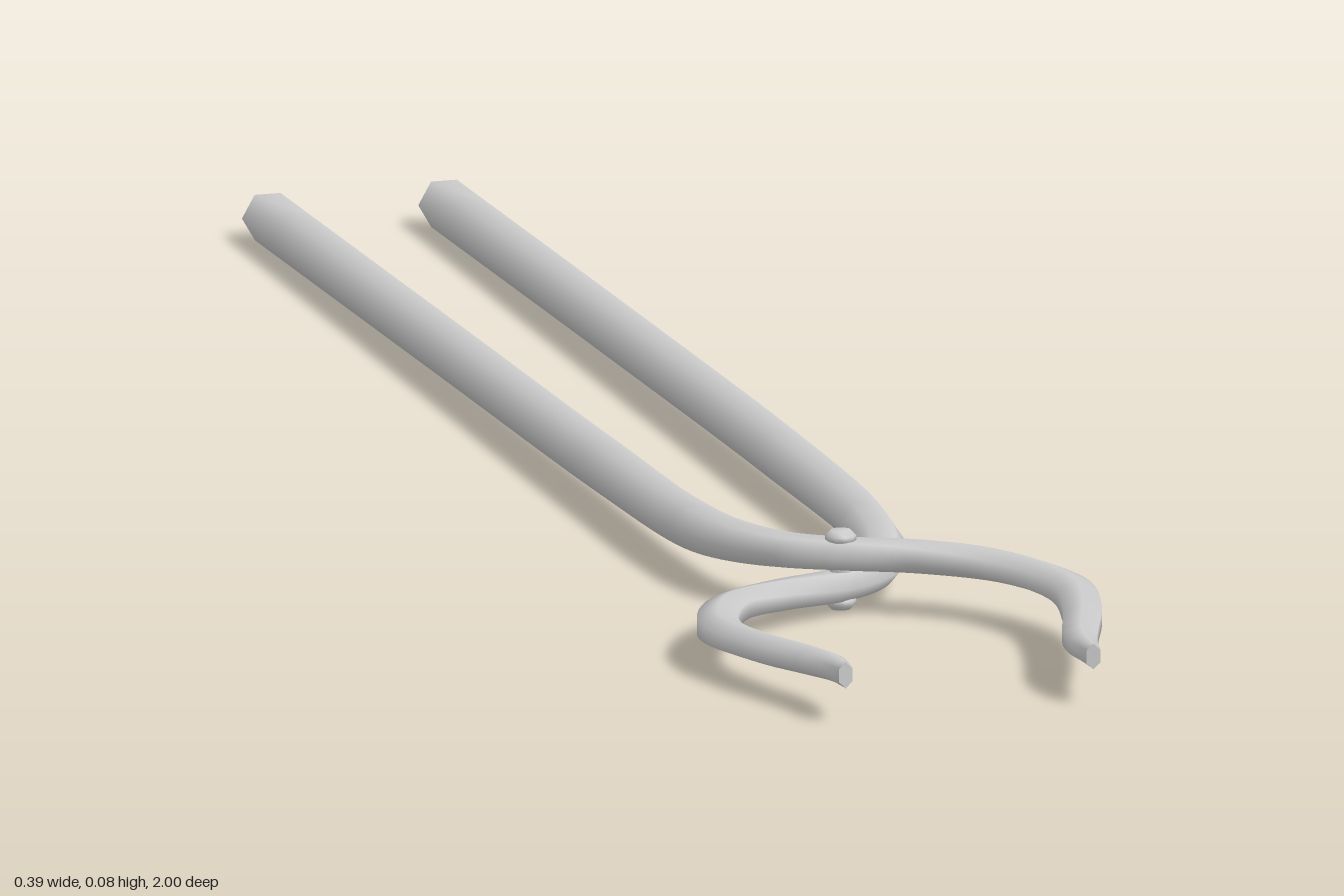
import * as THREE from 'three';

const SIDES = 6, STEPS = 6;
const material = new THREE.MeshStandardMaterial({ color: 0xcccccc });

// Stations along one arm: x, base height, z, lift at the crossing, half width, half height, roll
const STATIONS = [
  [-0.089, 0.0225, -1.0, 0, 0.026, 0.026, 0],
  [-0.089, 0.031, -0.4, 0, 0.026, 0.026, 0],
  [-0.089, 0.037, 0.1, 0.001, 0.026, 0.026, 0],
  [-0.086, 0.040, 0.38, 0.005, 0.025, 0.024, 0],
  [-0.073, 0.042, 0.48, 0.010, 0.025, 0.020, 0],
  [-0.044, 0.043, 0.545, 0.014, 0.024, 0.017, 0],
  [0.000, 0.043, 0.580, 0.0155, 0.023, 0.016, 0],
  [0.070, 0.043, 0.608, 0.014, 0.023, 0.016, 0.25],
  [0.135, 0.044, 0.658, 0.011, 0.023, 0.0165, 0.5],
  [0.175, 0.044, 0.750, 0.008, 0.023, 0.0165, 0.5],
  [0.163, 0.045, 0.840, 0.005, 0.022, 0.0160, 0.5],
  [0.135, 0.046, 0.925, 0.002, 0.020, 0.0150, 0.5],
  [0.127, 0.047, 0.960, 0.001, 0.016, 0.0140, 0.5],
  [0.125, 0.047, 1.0, 0, 0.008, 0.0130, 0.5],
];

// Sweep a six-sided section along the arm; side = 1 crosses over, -1 crosses under
function armGeometry(side) {
  const curve = new THREE.CatmullRomCurve3(STATIONS.map(
    ([x, y, z, lift]) => new THREE.Vector3(side * x, y + side * lift, z)));
  const spans = STATIONS.length - 1, rings = spans * STEPS;
  const up = new THREE.Vector3(0, 1, 0);
  const positions = [], index = [];
  for (let i = 0; i <= rings; i++) {
    const u = i / STEPS, k = Math.min(Math.floor(u), spans - 1);
    const at = (c) => THREE.MathUtils.lerp(STATIONS[k][c], STATIONS[k + 1][c], u - k);
    const centre = curve.getPoint(i / rings), tangent = curve.getTangent(i / rings);
    const across = new THREE.Vector3().crossVectors(up, tangent).normalize();
    const rise = new THREE.Vector3().crossVectors(tangent, across);
    for (let j = 0; j < SIDES; j++) {
      const a = (j + at(6)) / SIDES * Math.PI * 2;
      const p = centre.clone()
        .addScaledVector(across, at(4) * Math.cos(a))
        .addScaledVector(rise, at(5) * Math.sin(a));
      positions.push(p.x, p.y, p.z);
      if (i < rings) {
        const n = (j + 1) % SIDES, b = i * SIDES, c = b + SIDES;
        index.push(b + j, b + n, c + j, b + n, c + n, c + j);
      }
    }
  }
  // Flat end caps on their own vertices keep the end edges sharp
  for (const [ring, front] of [[0, false], [rings, true]]) {
    const base = positions.length / 3;
    positions.push(...positions.slice(ring * SIDES * 3, (ring + 1) * SIDES * 3));
    for (let j = 1; j < SIDES - 1; j++) {
      index.push(base, base + (front ? j : j + 1), base + (front ? j + 1 : j));
    }
  }
  const geometry = new THREE.BufferGeometry();
  geometry.setAttribute('position', new THREE.Float32BufferAttribute(positions, 3));
  geometry.setIndex(index);
  geometry.computeVertexNormals();
  return geometry;
}

export function createModel() {
  const group = new THREE.Group();
  group.name = 'tongs';
  const add = (geometry, name) => {
    const mesh = new THREE.Mesh(geometry, material);
    mesh.name = name;
    group.add(mesh);
    return mesh;
  };

  // Two crossing arms, each a handle and the opposite jaw
  add(armGeometry(1), 'upperArm');
  add(armGeometry(-1), 'lowerArm');

  // Rivet through the crossing, with a domed head at each end
  const profile = [[0, 0.004], [0.010, 0.004], [0.015, 0.009], [0.015, 0.014], [0.011, 0.016],
    [0.011, 0.070], [0.015, 0.072], [0.015, 0.077], [0.010, 0.082], [0, 0.082]];
  const rivet = add(new THREE.LatheGeometry(profile.map(([r, y]) => new THREE.Vector2(r, y)), 10), 'rivet');
  rivet.position.z = 0.58;
  return group;
}
